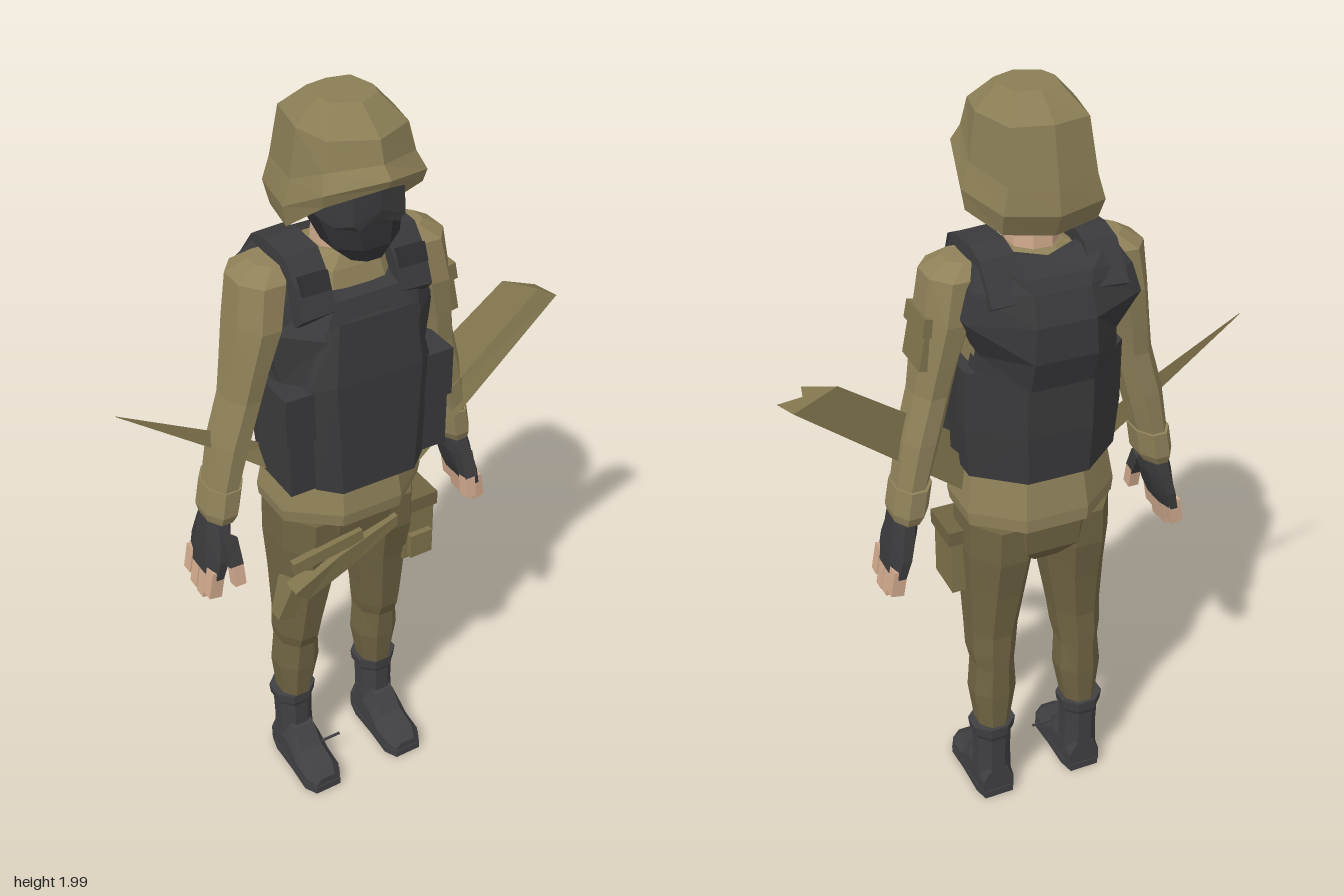
import * as THREE from 'three';

const mat = (name, color, side = THREE.FrontSide) => {
  const m = new THREE.MeshStandardMaterial({ color, side });
  m.name = name;
  return m;
};

// Faceted solid through a list of point rings; faces are turned outward by the sign of the volume.
function loft(rings) {
  const tris = [];
  const n = rings[0].length;
  for (let i = 0; i < rings.length - 1; i++) for (let j = 0; j < n; j++) {
    const k = (j + 1) % n, a = rings[i], b = rings[i + 1];
    tris.push([a[j], a[k], b[k]], [a[j], b[k], b[j]]);
  }
  const cap = (r, flip) => {
    const c = [0, 1, 2].map(d => r.reduce((s, p) => s + p[d], 0) / n);
    for (let j = 0; j < n; j++) {
      const k = (j + 1) % n;
      tris.push(flip ? [r[k], r[j], c] : [r[j], r[k], c]);
    }
  };
  cap(rings[0], true);
  cap(rings[rings.length - 1], false);
  let vol = 0;
  for (const [a, b, c] of tris) {
    vol += a[0] * (b[1] * c[2] - b[2] * c[1]) + a[1] * (b[2] * c[0] - b[0] * c[2]) + a[2] * (b[0] * c[1] - b[1] * c[0]);
  }
  if (vol < 0) tris.forEach(t => t.reverse());
  const g = new THREE.BufferGeometry();
  g.setAttribute('position', new THREE.Float32BufferAttribute(tris.flat(2), 3));
  g.computeVertexNormals();
  return g;
}

// Eight-sided horizontal ring
function ring(y, cx, cz, rx, rz, n = 8) {
  const f = 1 / Math.cos(Math.PI / n);
  return Array.from({ length: n }, (_, i) => {
    const a = (i + 0.5) / n * Math.PI * 2;
    return [cx + Math.sin(a) * rx * f, y, cz + Math.cos(a) * rz * f];
  });
}
// Symmetric torso-style ring from front and back depth
const band = (y, rx, zf, zb) => ring(y, 0, (zf + zb) / 2, rx, (zf - zb) / 2);
// Plate from mirrored half rows [[x,y,z] outer, ... inner], thickened along z
const plate = (rows, dz) => loft(rows.map(h => {
  const row = [...h.map(p => [-p[0], p[1], p[2]]), ...[...h].reverse()];
  return [...row, ...[...row].reverse().map(p => [p[0], p[1], p[2] + dz])];
}));

export function createModel() {
  const shirt = mat('khaki shirt', 0x8f8159);
  const helmetMat = mat('khaki helmet', 0x8b7e56);
  const pants = mat('olive trousers', 0x6f6443);
  const gear = mat('olive gear', 0x7f734c, THREE.DoubleSide);
  const vest = mat('charcoal vest', 0x3a3a3c);
  const boot = mat('dark grey boots', 0x404043);
  const mask = mat('black mask', 0x2f2f32);
  const skin = mat('skin', 0xd0a98c);

  const model = new THREE.Group();
  model.name = 'soldier';
  const body = new THREE.Group();
  body.name = 'body';
  body.position.x = -0.025;
  model.add(body);
  const add = (name, geo, m) => {
    const mesh = new THREE.Mesh(geo, m);
    mesh.name = name;
    body.add(mesh);
    return mesh;
  };
  const box = (name, m, [w, h, d], [x, y, z], rx = 0, rz = 0) => {
    const b = add(name, new THREE.BoxGeometry(w, h, d), m);
    b.position.set(x, y, z);
    b.rotation.set(rx, 0, rz);
    return b;
  };

  // Helmet: pointed brim in front, low flare at the back
  const shell = (rx, zf, zb, yf, yd, ys, yb) => {
    const half = [[0.83 * rx, yd, zf * 0.7], [rx, ys, 0.02], [0.78 * rx, (ys + yb) / 2, zb * 0.82]];
    return [[0, yf, zf], ...half, [0, yb, zb], ...half.map(([x, y, z]) => [-x, y, z]).reverse()];
  };
  add('helmet', loft([
    shell(0.07, 0.09, -0.06, 1.99, 1.99, 1.99, 1.99),
    shell(0.122, 0.165, -0.13, 1.935, 1.935, 1.935, 1.935),
    shell(0.138, 0.18, -0.158, 1.885, 1.87, 1.82, 1.8),
    shell(0.158, 0.21, -0.168, 1.86, 1.83, 1.76, 1.74),
    shell(0.15, 0.2, -0.14, 1.84, 1.8, 1.71, 1.685),
    shell(0.125, 0.14, -0.11, 1.85, 1.82, 1.74, 1.72),
    shell(0.11, 0.12, -0.09, 1.88, 1.86, 1.84, 1.84),
  ]), helmetMat);

  // Masked head, goggles and neck
  add('maskedHead', loft([
    ring(1.645, 0, 0.105, 0.045, 0.04), ring(1.68, 0, 0.085, 0.085, 0.07),
    ring(1.75, 0, 0.045, 0.108, 0.105), ring(1.88, 0, 0.035, 0.11, 0.105),
  ]), mask);
  add('goggles', plate([
    [[0.09, 1.735, 0.12], [0.05, 1.735, 0.165], [0, 1.755, 0.168]],
    [[0.113, 1.755, 0.08], [0.065, 1.75, 0.165], [0, 1.775, 0.172]],
    [[0.115, 1.835, 0.08], [0.065, 1.84, 0.16], [0, 1.84, 0.17]],
  ], -0.04), vest);
  add('neck', loft([ring(1.58, 0, -0.02, 0.06, 0.06), ring(1.73, 0, -0.01, 0.055, 0.06)]), skin);

  // Shirt
  add('shirt', loft([
    band(0.925, 0.195, 0.145, -0.175), band(0.96, 0.2, 0.15, -0.175), band(1.08, 0.18, 0.135, -0.155),
    band(1.3, 0.17, 0.12, -0.16), band(1.5, 0.185, 0.1, -0.165), band(1.595, 0.15, 0.07, -0.14),
    band(1.63, 0.065, 0.05, -0.08),
  ]), shirt);

  // Armoured vest: waist wrap, chest, centre plate and back
  add('vestWrap', loft([
    band(1.07, 0.195, 0.145, -0.178), band(1.2, 0.205, 0.145, -0.185), band(1.36, 0.205, 0.14, -0.185),
  ]), vest);
  add('vestChest', plate([
    [[0.2, 1.34, 0.06], [0.13, 1.34, 0.14]],
    [[0.225, 1.47, 0.05], [0.125, 1.47, 0.145]],
    [[0.16, 1.57, 0.065], [0.085, 1.545, 0.115]],
  ], -0.05), vest);
  add('vestFrontPlate', plate([
    [[0.15, 1.06, 0.135], [0.1, 1.055, 0.178]],
    [[0.165, 1.34, 0.13], [0.115, 1.36, 0.178]],
    [[0.13, 1.48, 0.125], [0.1, 1.515, 0.165]],
  ], -0.05), vest);
  add('vestBack', plate([
    [[0.185, 1.33, -0.1], [0.08, 1.33, -0.19]],
    [[0.175, 1.41, -0.115], [0.08, 1.41, -0.213]],
    [[0.22, 1.51, -0.145], [0.075, 1.5, -0.21]],
    [[0.2, 1.58, -0.135], [0.07, 1.57, -0.185]],
    [[0.16, 1.645, -0.09], [0.085, 1.6, -0.165]],
  ], 0.05), vest);

  // Trouser seat
  add('trouserSeat', loft([
    band(0.79, 0.075, 0.06, -0.11), band(0.84, 0.17, 0.105, -0.15), band(0.95, 0.185, 0.125, -0.16),
  ]), pants);

  for (const s of [1, -1]) {
    const side = s > 0 ? 'left' : 'right';
    const limb = rows => loft(rows.map(([y, x, z, rx, rz]) => ring(y, x * s, z, rx, rz)));

    // Shoulder strap and buckle
    const path = [[1.53, 0.125], [1.6, 0.095], [1.655, 0.045], [1.66, -0.05], [1.645, -0.11], [1.56, -0.18]];
    add(side + 'VestStrap', loft(path.map(([y, z]) => [
      [0.085 * s, y, z], [0.17 * s, y - 0.005, z], [0.175 * s, y - 0.035, z * 0.75], [0.085 * s, y - 0.035, z * 0.75],
    ])), vest);
    box(side + 'StrapBuckle', mask, [0.07, 0.045, 0.02], [0.127 * s, 1.6, 0.1], -0.4);

    // Side pouch with flap
    box(side + 'VestPouch', vest, [0.08, 0.15, 0.16], [0.178 * s, 1.14, 0.055]);
    box(side + 'PouchFlap', vest, [0.09, 0.13, 0.18], [0.183 * s, 1.275, 0.05]);

    // Sleeve, shoulder pocket and cuff
    add(side + 'Sleeve', limb([
      [1.625, 0.175, -0.02, 0.045, 0.05], [1.595, 0.205, -0.02, 0.065, 0.085], [1.49, 0.225, -0.015, 0.06, 0.095],
      [1.38, 0.25, -0.015, 0.05, 0.08], [1.3, 0.265, -0.015, 0.047, 0.068], [1.18, 0.298, -0.02, 0.048, 0.066],
      [1.04, 0.33, -0.022, 0.04, 0.06],
    ]), shirt);
    add(side + 'Cuff', limb([
      [1.06, 0.325, -0.024, 0.046, 0.068], [0.99, 0.337, -0.024, 0.046, 0.07], [0.965, 0.342, -0.024, 0.036, 0.06],
    ]), shirt);
    if (s > 0) {
      box('armPocket', gear, [0.04, 0.1, 0.11], [0.278, 1.42, -0.015], 0, 0.2);
      box('armPocketFlap', gear, [0.045, 0.045, 0.12], [0.272, 1.48, -0.015], 0, 0.2);
    }

    // Fingerless glove, fingers and thumb
    add(side + 'Glove', limb([
      [0.98, 0.345, -0.025, 0.03, 0.045], [0.92, 0.355, -0.02, 0.034, 0.066],
      [0.87, 0.367, -0.018, 0.03, 0.078], [0.82, 0.38, -0.018, 0.022, 0.076],
    ]), vest);
    for (let i = 0; i < 4; i++) {
      const len = [0.075, 0.095, 0.09, 0.07][i];
      box(side + 'Finger' + (i + 1), skin, [0.034, len, 0.033], [0.388 * s, 0.84 - len / 2, 0.038 - i * 0.037], 0, 0.18 * s);
    }
    box(side + 'ThumbGlove', vest, [0.035, 0.07, 0.035], [0.345 * s, 0.895, 0.055], -0.4);
    box(side + 'Thumb', skin, [0.03, 0.06, 0.03], [0.342 * s, 0.84, 0.073], -0.2);

    // Trouser leg
    add(side + 'TrouserLeg', limb([
      [0.92, 0.1, -0.02, 0.092, 0.13], [0.82, 0.104, -0.02, 0.09, 0.128], [0.7, 0.11, -0.022, 0.078, 0.102],
      [0.56, 0.12, -0.025, 0.064, 0.08], [0.49, 0.124, -0.032, 0.06, 0.074], [0.45, 0.124, -0.04, 0.053, 0.066],
      [0.36, 0.126, -0.043, 0.06, 0.062], [0.22, 0.13, -0.05, 0.04, 0.048],
    ]), pants);

    // Boot shaft, cuff, foot and sole
    const bx = 0.132;
    add(side + 'BootShaft', limb([
      [0.23, bx, -0.052, 0.05, 0.05], [0.14, bx, -0.05, 0.047, 0.05], [0.05, bx, -0.048, 0.05, 0.052],
    ]), boot);
    add(side + 'BootCuff', limb([
      [0.25, bx, -0.053, 0.06, 0.056], [0.22, bx, -0.053, 0.056, 0.055], [0.205, bx, -0.053, 0.048, 0.05],
    ]), boot);
    add(side + 'BootFoot', loft([
      [-0.1, 0.045, 0.09], [-0.03, 0.05, 0.14], [0.01, 0.05, 0.13], [0.05, 0.053, 0.08], [0.11, 0.053, 0.065], [0.142, 0.036, 0.045],
    ].map(([z, w, h]) => [[-w, 0.015], [w, 0.015], [w, h * 0.6], [w * 0.6, h], [-w * 0.6, h], [-w, h * 0.6]]
      .map(([x, y]) => [x + bx * s, y, z]))), boot);
    add(side + 'BootSole', loft([
      [-0.103, 0.042], [-0.06, 0.052], [0.03, 0.052], [0.11, 0.056], [0.145, 0.038],
    ].map(([z, w]) => [[-w, 0], [w, 0], [w, 0.022], [-w, 0.022]].map(([x, y]) => [x + bx * s, y, z]))), boot);
  }
  box('looseLace', boot, [0.06, 0.005, 0.006], [-0.065, 0.075, 0.04]);

  // Left hip pouch
  box('hipPouch', gear, [0.09, 0.16, 0.115], [0.18, 0.765, 0.03]);
  box('hipPouchFlap', pants, [0.1, 0.04, 0.125], [0.183, 0.855, 0.03]);
  box('hipPouchPocket', gear, [0.065, 0.07, 0.03], [0.18, 0.73, 0.09]);

  // Right thigh holster with diagonal sling
  add('thighSling', loft([
    [[0.09, 0.875, 0.125], [0.09, 0.845, 0.125], [0.09, 0.845, 0.08], [0.09, 0.875, 0.08]],
    [[-0.08, 0.82, 0.13], [-0.05, 0.765, 0.125], [-0.05, 0.765, 0.08], [-0.08, 0.82, 0.08]],
    [[-0.2, 0.73, 0.11], [-0.16, 0.685, 0.1], [-0.16, 0.685, 0.06], [-0.2, 0.73, 0.06]],
  ]), gear);
  box('thighStrap', gear, [0.2, 0.035, 0.02], [-0.11, 0.84, 0.115], 0, 0.15);
  add('holsterTip', loft([
    [[-0.2, 0.73, 0.09], [-0.16, 0.72, 0.09], [-0.16, 0.72, 0.02], [-0.2, 0.73, 0.02]],
    [[-0.23, 0.625, 0.07], [-0.185, 0.61, 0.07], [-0.185, 0.61, 0.03], [-0.23, 0.625, 0.03]],
  ]), gear);

  // Long grooved blade on the left and thin spike on the right
  add('longBlade', loft([
    [[0.13, 1.11, -0.02], [0.16, 1.05, 0.058], [0.18, 1.03, 0.015], [0.19, 0.96, 0.058], [0.17, 0.98, -0.03]],
    [[0.49, 1.36, -0.03], [0.56, 1.345, 0.028], [0.56, 1.335, 0], [0.62, 1.31, 0.03], [0.6, 1.315, -0.035]],
  ]), gear);
  add('thinSpike', loft([
    [[-0.18, 1.1, -0.025], [-0.19, 1.05, 0.02], [-0.19, 1.03, -0.03]],
    [[-0.3, 1.18, -0.03], [-0.3, 1.13, -0.01], [-0.3, 1.12, -0.035]],
    [[-0.57, 1.325, -0.031], [-0.569, 1.323, -0.03], [-0.569, 1.322, -0.032]],
  ]), gear);
  return model;
}
